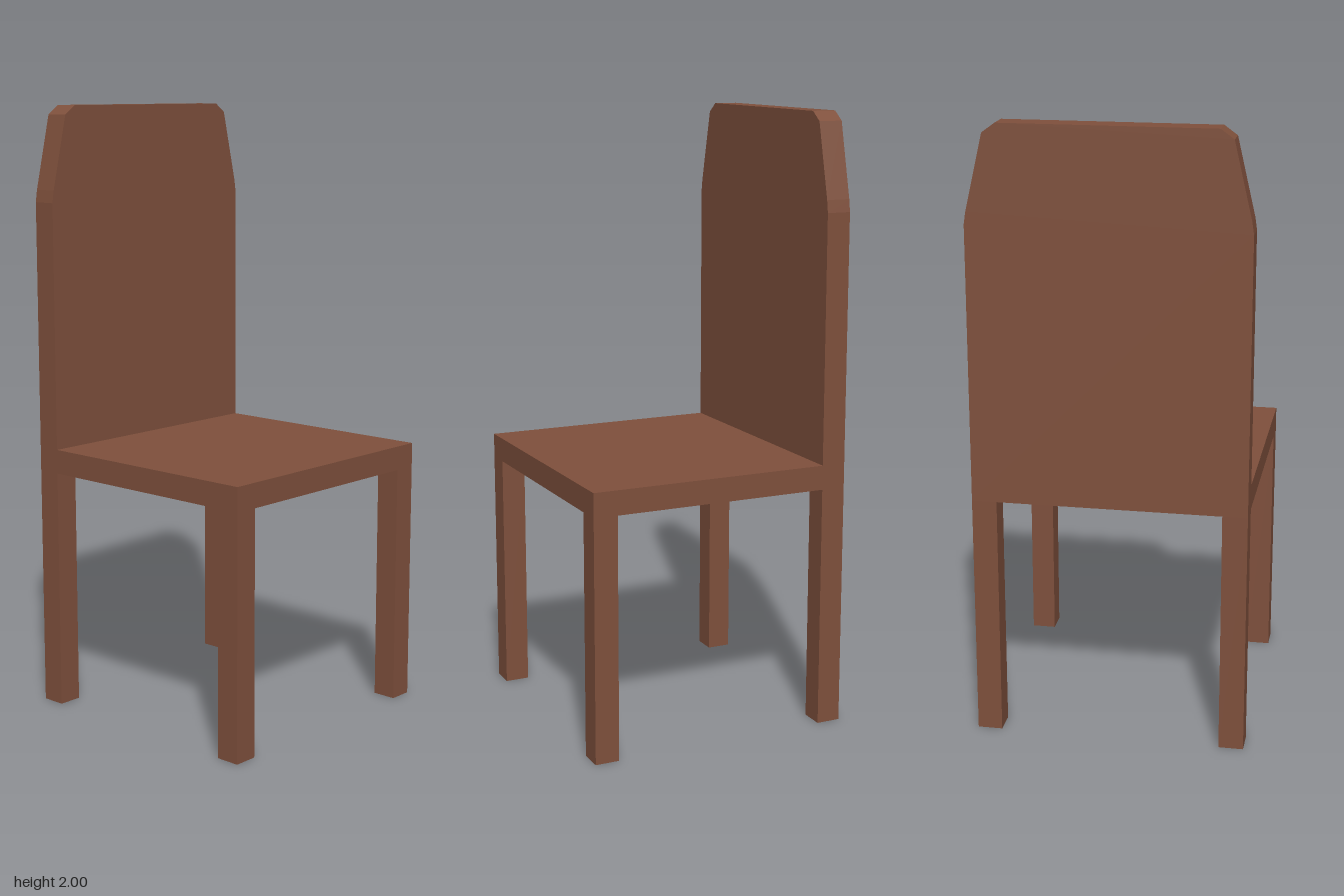
import * as THREE from 'three';

const HALF = 0.44;        // half of the chair's width and depth
const THICK = 0.08;       // thickness of legs, seat and backrest
const SEAT_BOTTOM = 0.8;

export function createModel() {
  const chair = new THREE.Group();
  chair.name = 'chair';
  const wood = new THREE.MeshStandardMaterial({ color: 0x7f503c });
  wood.name = 'brown wood';

  const add = (name, geometry, x, y, z) => {
    const mesh = new THREE.Mesh(geometry, wood);
    mesh.name = name;
    mesh.position.set(x, y, z);
    chair.add(mesh);
  };

  // Four square legs, flush with the seat corners
  const legGeometry = new THREE.BoxGeometry(THICK, SEAT_BOTTOM, THICK);
  const legOffset = HALF - THICK / 2;
  for (const [side, sx] of [['Left', 1], ['Right', -1]]) {
    for (const [end, sz] of [['front', 1], ['back', -1]]) {
      add(`${end}${side}Leg`, legGeometry, sx * legOffset, SEAT_BOTTOM / 2, sz * legOffset);
    }
  }

  // Seat slab, ending where the backrest begins
  add('seat', new THREE.BoxGeometry(2 * HALF, THICK, 2 * HALF - THICK),
    0, SEAT_BOTTOM + THICK / 2, THICK / 2);

  // Backrest panel with tapered, chamfered upper corners
  const rightEdge = [[HALF, SEAT_BOTTOM], [HALF, 1.69], [0.434, 1.73], [0.378, 1.97], [0.337, 2]];
  const leftEdge = rightEdge.map(([x, y]) => [-x, y]).reverse();
  const outline = new THREE.Shape([...rightEdge, ...leftEdge].map(([x, y]) => new THREE.Vector2(x, y)));
  add('backrest', new THREE.ExtrudeGeometry(outline, { depth: THICK, bevelEnabled: false }), 0, 0, -HALF);

  return chair;
}
